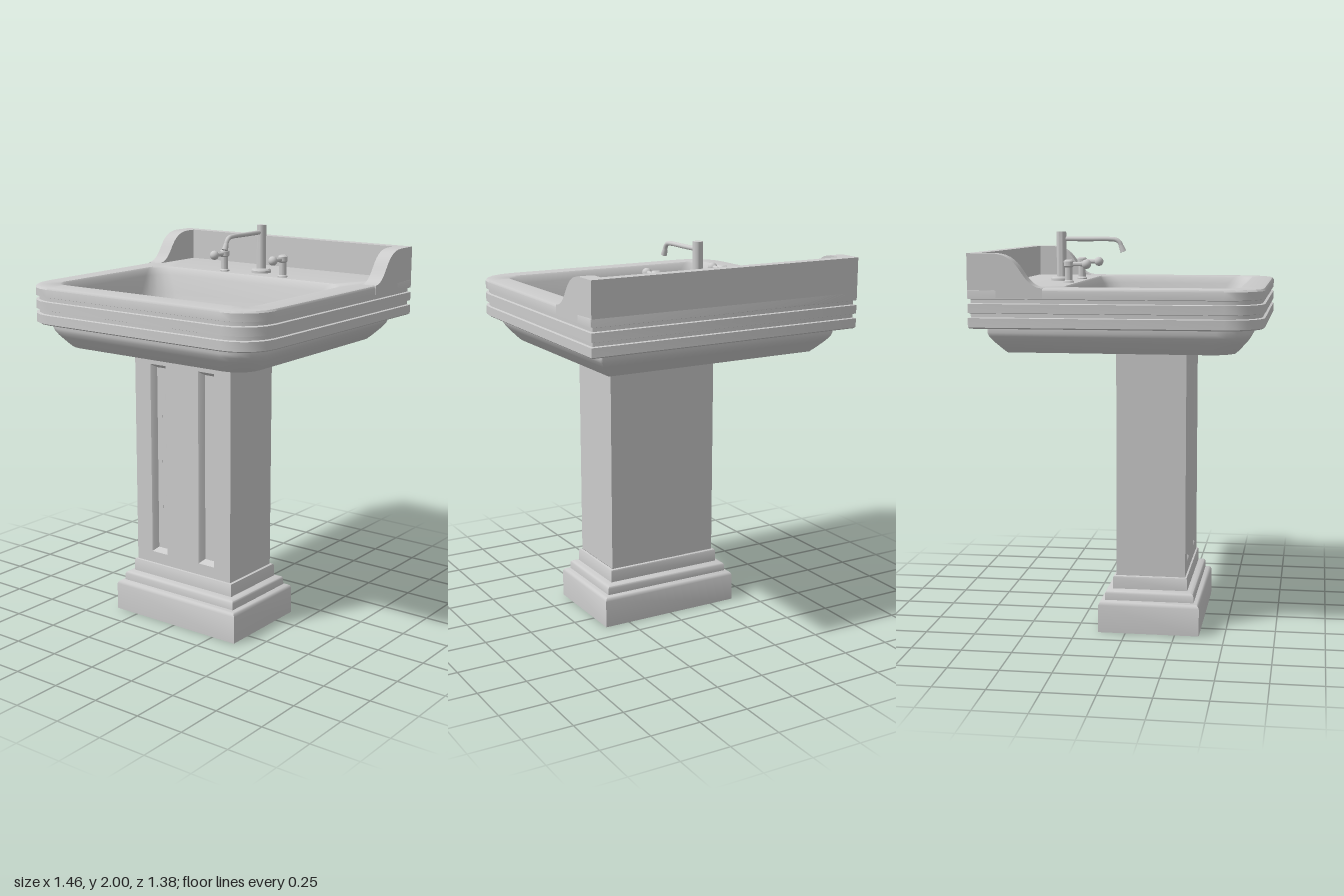
import * as THREE from 'three';
import { toCreasedNormals } from 'three/addons/utils/BufferGeometryUtils.js';

const material = new THREE.MeshStandardMaterial({ color: 0xcccccc, side: THREE.DoubleSide });

function add(parent, name, geometry, x = 0, y = 0, z = 0) {
  const mesh = new THREE.Mesh(geometry, material);
  mesh.name = name;
  mesh.position.set(x, y, z);
  parent.add(mesh);
  return mesh;
}

// Rounded plan outline at height y; wb/wf are the half widths at the back/front,
// zb/zf the back/front edges, rb/rf the corner radii.
function ring(y, wb, wf, zb, zf, rb, rf, n = 5) {
  const corners = [
    [wf - rf, zf - rf, rf], [rf - wf, zf - rf, rf],
    [rb - wb, zb + rb, rb], [wb - rb, zb + rb, rb],
  ];
  const points = [];
  corners.forEach(([cx, cz, r], k) => {
    for (let i = 0; i <= n; i++) {
      const a = (k + i / n) * Math.PI / 2;
      points.push([cx + r * Math.cos(a), y, cz + r * Math.sin(a)]);
    }
  });
  return points;
}

// Skin between successive outlines of equal point count
function loft(rings, crease = 0.65) {
  const n = rings[0].length, index = [];
  for (let j = 0; j < rings.length - 1; j++) {
    for (let i = 0; i < n; i++) {
      const a = j * n + i, b = j * n + (i + 1) % n, c = b + n, d = a + n;
      index.push(a, d, c, a, c, b);
    }
  }
  const geometry = new THREE.BufferGeometry();
  geometry.setAttribute('position', new THREE.Float32BufferAttribute(rings.flat(2), 3));
  geometry.setIndex(index);
  return toCreasedNormals(geometry, crease);
}

function basin() {
  const group = new THREE.Group();
  group.name = 'basin';
  const outer = (y, d) => ring(y, 0.73 - d, 0.712 - d, -0.69 + d, 0.685 - d, 0.004, 0.18);
  const under = (y, d) => ring(y, 0.645 - d, 0.645 - d, -0.62 + d, 0.625 - d, 0.01, 0.16 - d * 0.5);
  const bowl = (y, t, r) => ring(y, 0.6 - 0.055 * t, 0.6 - 0.055 * t,
    -0.27 + 0.065 * t, 0.57 - 0.06 * t, r, r);
  add(group, 'basinBody', loft([
    // underside
    ring(1.435, 0.01, 0.01, -0.01, 0.01, 0.002, 0.002),
    under(1.435, 0.078), under(1.455, 0.058), under(1.495, 0.022), under(1.518, 0.006),
    under(1.535, 0), under(1.56, 0),
    // banded apron
    outer(1.56, 0.008), outer(1.566, 0), outer(1.61, 0), outer(1.613, 0.012), outer(1.631, 0.012),
    outer(1.634, 0), outer(1.676, 0), outer(1.679, 0.012), outer(1.697, 0.012),
    outer(1.7, 0), outer(1.738, 0), outer(1.747, 0.006), outer(1.75, 0.018),
    // deck edge, bowl walls and sloping floor
    bowl(1.75, 0, 0.09), bowl(1.742, 0.12, 0.1), bowl(1.71, 0.3, 0.12), bowl(1.62, 0.65, 0.16),
    bowl(1.56, 0.88, 0.185), bowl(1.535, 1.05, 0.19), bowl(1.518, 1.5, 0.185),
    ring(1.465, 0.06, 0.06, -0.03, 0.06, 0.01, 0.01),
    ring(1.465, 0.002, 0.002, 0.01, 0.014, 0.001, 0.001),
  ]));

  // Raised back wall with two swept side wings
  add(group, 'backsplash', new THREE.BoxGeometry(1.3, 0.21, 0.055), 0, 1.805, -0.6625);
  const wing = new THREE.Shape();
  wing.moveTo(0.69, 1.705);
  wing.lineTo(0.69, 1.91);
  wing.lineTo(0.58, 1.91);
  wing.bezierCurveTo(0.42, 1.91, 0.45, 1.76, 0.335, 1.75);
  wing.lineTo(0.335, 1.705);
  wing.closePath();
  const wingGeometry = toCreasedNormals(new THREE.ExtrudeGeometry(wing,
    { depth: 0.078, bevelEnabled: false, curveSegments: 14 }).rotateY(Math.PI / 2), 0.5);
  add(group, 'leftWing', wingGeometry, 0.65);
  add(group, 'rightWing', wingGeometry, -0.728);
  return group;
}

function pedestal() {
  const group = new THREE.Group();
  group.name = 'pedestal';
  const w = 0.303, y0 = 0.28, y1 = 1.44, front = 0.294, back = -0.055;
  const h = y1 - y0, yMid = (y0 + y1) / 2, depth = front - back;

  // Column front with two sunken panels
  const rect = (path, x0, x1, a, b) => {
    path.moveTo(x0, a); path.lineTo(x1, a); path.lineTo(x1, b); path.lineTo(x0, b); path.closePath();
    return path;
  };
  const face = rect(new THREE.Shape(), -w, w, y0, y1);
  for (const side of [-1, 1]) {
    const cx = side * 0.153;
    face.holes.push(rect(new THREE.Path(), cx - 0.05, cx + 0.05, 0.34, 1.345));
    const step = (y, d) => ring(y, 0.05 - d, 0.05 - d, -0.5025 + d, 0.5025 - d, 0, 0, 1);
    const panel = loft([step(0, 0), step(-0.006, 0.006), step(-0.03, 0.02), step(-0.03, 0.0499)]);
    add(group, 'sunkenPanel', panel.rotateX(Math.PI / 2), cx, 0.8425, front);
  }
  add(group, 'columnFront', new THREE.ShapeGeometry(face), 0, 0, front);
  add(group, 'columnBack', new THREE.PlaneGeometry(2 * w, h).rotateY(Math.PI), 0, yMid, back);
  for (const side of [-1, 1]) {
    add(group, 'columnSide', new THREE.PlaneGeometry(depth, h).rotateY(side * Math.PI / 2),
      side * w, yMid, (front + back) / 2);
  }

  // Hollow stepped plinth: [height, inset]
  const profile = [[0, 0], [0.14, 0], [0.152, 0.005], [0.158, 0.014], [0.162, 0.03], [0.195, 0.031],
    [0.204, 0.036], [0.209, 0.052], [0.213, 0.066], [0.27, 0.067], [0.277, 0.07], [0.28, 0.08]];
  add(group, 'plinth', loft(profile.map(([y, d]) =>
    ring(y, 0.385 - d, 0.385 - d, -0.138 + d, 0.372 - d, 0, 0, 1)), 0.8));
  return group;
}

function lathe(points, segments = 20) {
  return toCreasedNormals(new THREE.LatheGeometry(
    points.map(([r, y]) => new THREE.Vector2(r, y)), segments), 0.6);
}

function taps() {
  const group = new THREE.Group();
  group.name = 'taps';
  // Central post and spout
  add(group, 'spoutPost', lathe([[0.052, 0], [0.052, 0.012], [0.046, 0.02], [0.025, 0.022],
    [0.025, 0.25], [0, 0.25]], 24), 0, 1.75, -0.385);
  const path = new THREE.CatmullRomCurve3([
    [1.962, -0.385], [1.962, -0.25], [1.962, -0.13], [1.958, -0.1], [1.945, -0.083], [1.91, -0.068],
  ].map(([y, z]) => new THREE.Vector3(0, y, z)));
  add(group, 'spout', new THREE.TubeGeometry(path, 36, 0.0115, 12));
  const nozzle = add(group, 'nozzle', new THREE.CylinderGeometry(0.012, 0.016, 0.035, 14),
    0, 1.915, -0.07);
  nozzle.rotation.x = -0.4;

  // Pair of lever handles
  for (const side of [-1, 1]) {
    const handle = new THREE.Group();
    handle.name = side > 0 ? 'leftHandle' : 'rightHandle';
    handle.position.set(side * 0.187, 1.75, -0.312);
    add(handle, 'handlePost', lathe([[0.026, 0], [0.026, 0.006], [0.019, 0.012], [0.019, 0.075],
      [0.025, 0.082], [0.025, 0.106], [0.017, 0.113], [0, 0.113]]));
    const lever = lathe([[0.011, 0], [0.011, 0.05], [0.016, 0.075]], 14).rotateX(Math.PI / 2);
    add(handle, 'lever', lever, 0, 0.092, 0.01);
    add(handle, 'leverKnob', new THREE.SphereGeometry(0.024, 16, 12), 0, 0.092, 0.09);
    group.add(handle);
  }
  return group;
}

export function createModel() {
  const model = new THREE.Group();
  model.name = 'pedestalSink';
  model.add(basin(), pedestal(), taps());
  return model;
}
